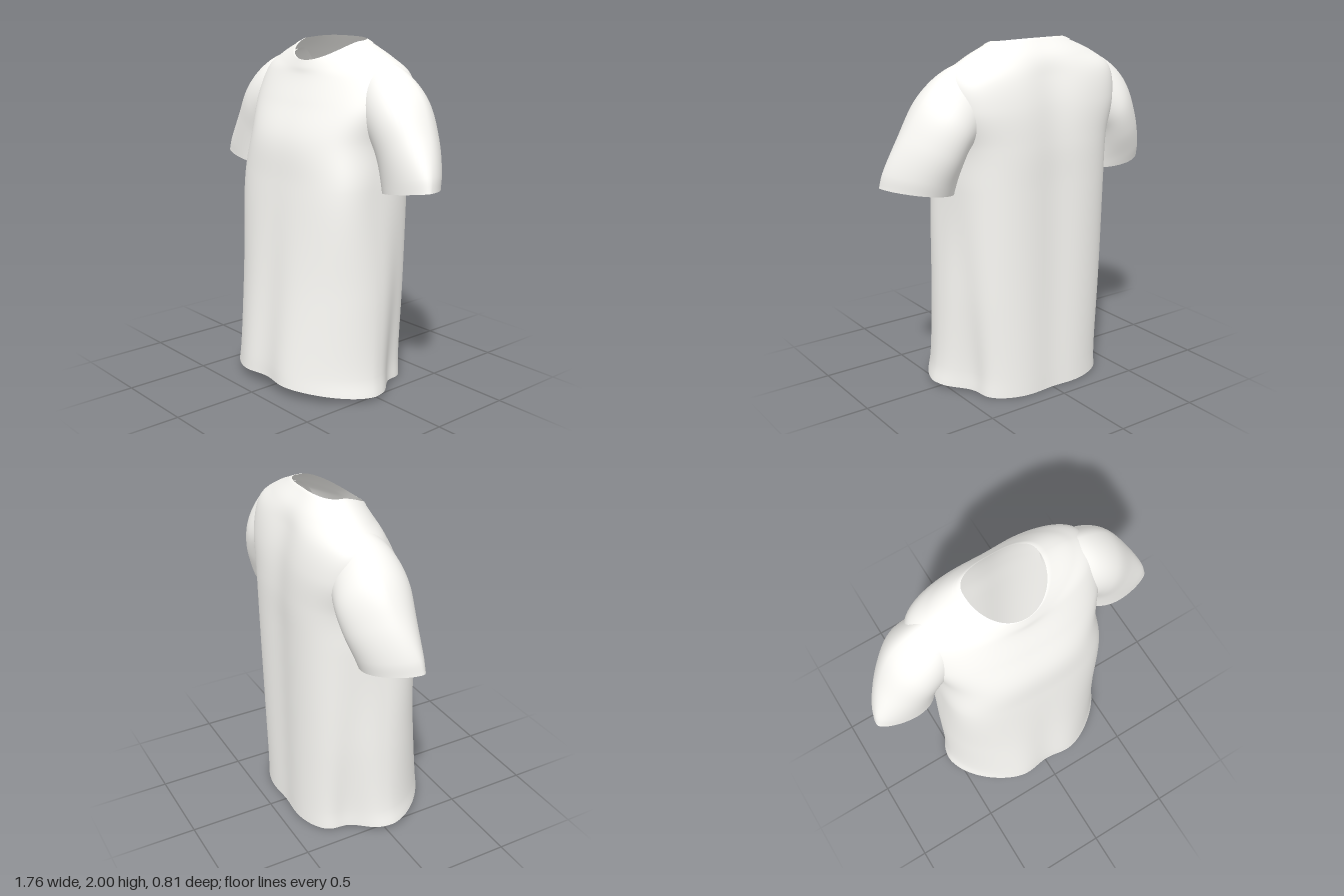
import * as THREE from 'three';

const material = new THREE.MeshStandardMaterial({ color: 0xfcfbf7, side: THREE.DoubleSide });
const { lerp } = THREE.MathUtils;

// Body levels from hem to neckline:
// y at front, side, back; half width; z at front, side, back; roundness at front, back; side fold depth
const bodyLevels = [
  [0.07, 0.025, 0, 0.55, 0.45, 0.03, -0.415, 1.75, 2.4, 0.17],
  [0.16, 0.13, 0.12, 0.532, 0.44, 0.02, -0.415, 1.8, 2.45, 0.15],
  [0.6, 0.6, 0.6, 0.515, 0.375, 0, -0.415, 2.1, 2.7, 0.07],
  [1.2, 1.2, 1.2, 0.49, 0.3, 0, -0.415, 2.8, 3.2, 0],
  [1.45, 1.45, 1.45, 0.485, 0.27, -0.1, -0.415, 2.7, 3, 0],
  [1.65, 1.65, 1.65, 0.54, 0.19, -0.13, -0.4, 2.4, 2.8, 0],
  [1.8, 1.815, 1.8, 0.525, 0.125, -0.14, -0.365, 2, 2.6, 0],
  [1.84, 1.905, 1.9, 0.41, 0.115, -0.14, -0.325, 1.8, 2.1, 0],
  [1.88, 1.985, 2, 0.22, 0.1, -0.12, -0.24, 2, 2.8, 0],
];

// Sleeve levels from inside the shoulder to the cuff: outer x, y, z; inner x, y; z at front, back
const sleeveLevels = [
  [0.3, 1.92, -0.14, 0.32, 1.5, 0, -0.28],
  [0.51, 1.855, -0.14, 0.4, 1.44, 0.06, -0.325],
  [0.665, 1.73, -0.14, 0.44, 1.41, 0.075, -0.345],
  [0.785, 1.52, -0.1, 0.465, 1.34, 0.065, -0.325],
  [0.865, 1.33, -0.04, 0.48, 1.25, 0.055, -0.28],
  [0.88, 1.25, -0.02, 0.49, 1.19, 0.05, -0.255],
];

// Superellipse section with a soft centre dip and folded back corners
function bodyPoint([yF, yS, yB, width, zF, zS, zB, nF, nB, fold], angle) {
  const s = Math.sin(angle), c = Math.cos(angle), front = c > 0;
  const n = front ? nF : nB;
  const r = (Math.abs(s) ** n + Math.abs(c) ** n) ** (-1 / n);
  const v = Math.abs(c) * r;
  const dent = front ? 0 : fold * Math.exp(-(((v - 0.5) / 0.25) ** 2));
  const x = width * s * r * (1 - dent);
  const dip = v * Math.exp(-((x / 0.14) ** 2)) * (front ? -0.35 * fold : 0.07 * (width - 0.22));
  return new THREE.Vector3(x, lerp(yS, front ? yF : yB, v ** 1.5), lerp(zS, front ? zF : zB, v) + dip);
}

// Oval section between the outer and inner edge of the sleeve, slimmer at the outer back
function sleevePoint([xO, yO, zO, xI, yI, zF, zB], angle) {
  const t = (1 + Math.cos(angle)) / 2, s = Math.sin(angle);
  const bulge = s > 0 ? s : -s * (1 - 0.35 * t * t);
  const z = lerp(lerp(-0.1, zO, t), s > 0 ? zF : zB, bulge);
  return new THREE.Vector3(lerp(xI, xO, t), lerp(yI, yO, t), z);
}

// Rows of points running smoothly through the sections at every level
function smoothRows(levels, sectionPoint, across, along) {
  const columns = Array.from({ length: across }, (_, i) => {
    const angle = (i / across) * Math.PI * 2;
    return new THREE.CatmullRomCurve3(levels.map(level => sectionPoint(level, angle)));
  });
  return Array.from({ length: along + 1 }, (_, j) => columns.map(c => c.getPoint(j / along)));
}

// Skin over rows of closed rings
function skin(name, rows) {
  const n = rows[0].length, index = [];
  for (let j = 0; j < rows.length - 1; j++) {
    for (let i = 0; i < n; i++) {
      const a = j * n + i, b = j * n + (i + 1) % n;
      index.push(a, b, b + n, a, b + n, a + n);
    }
  }
  const geometry = new THREE.BufferGeometry().setFromPoints(rows.flat());
  geometry.setIndex(index);
  geometry.computeVertexNormals();
  const mesh = new THREE.Mesh(geometry, material);
  mesh.name = name;
  return mesh;
}

export function createModel() {
  const shirt = new THREE.Group();
  shirt.name = 'tShirt';

  // Body from hem to neckline
  const rows = smoothRows(bodyLevels, bodyPoint, 120, 96);
  shirt.add(skin('body', rows));

  // Neck band, slightly raised above the body and closed at the neckline
  const neck = rows.slice(-4);
  const raised = neck.slice(0, 3).map(row => row.map(p => new THREE.Vector3(p.x * 1.004, p.y + 0.003, p.z)));
  shirt.add(skin('collar', [...raised, neck[3]]));

  // Sleeves, mirrored left and right; sections run outer, front, inner, back
  const sleeve = smoothRows(sleeveLevels, sleevePoint, 56, 40);
  const mirrored = sleeve.map(row => row.map(p => new THREE.Vector3(-p.x, p.y, p.z)).reverse());
  shirt.add(skin('leftSleeve', sleeve), skin('rightSleeve', mirrored));
  return shirt;
}
